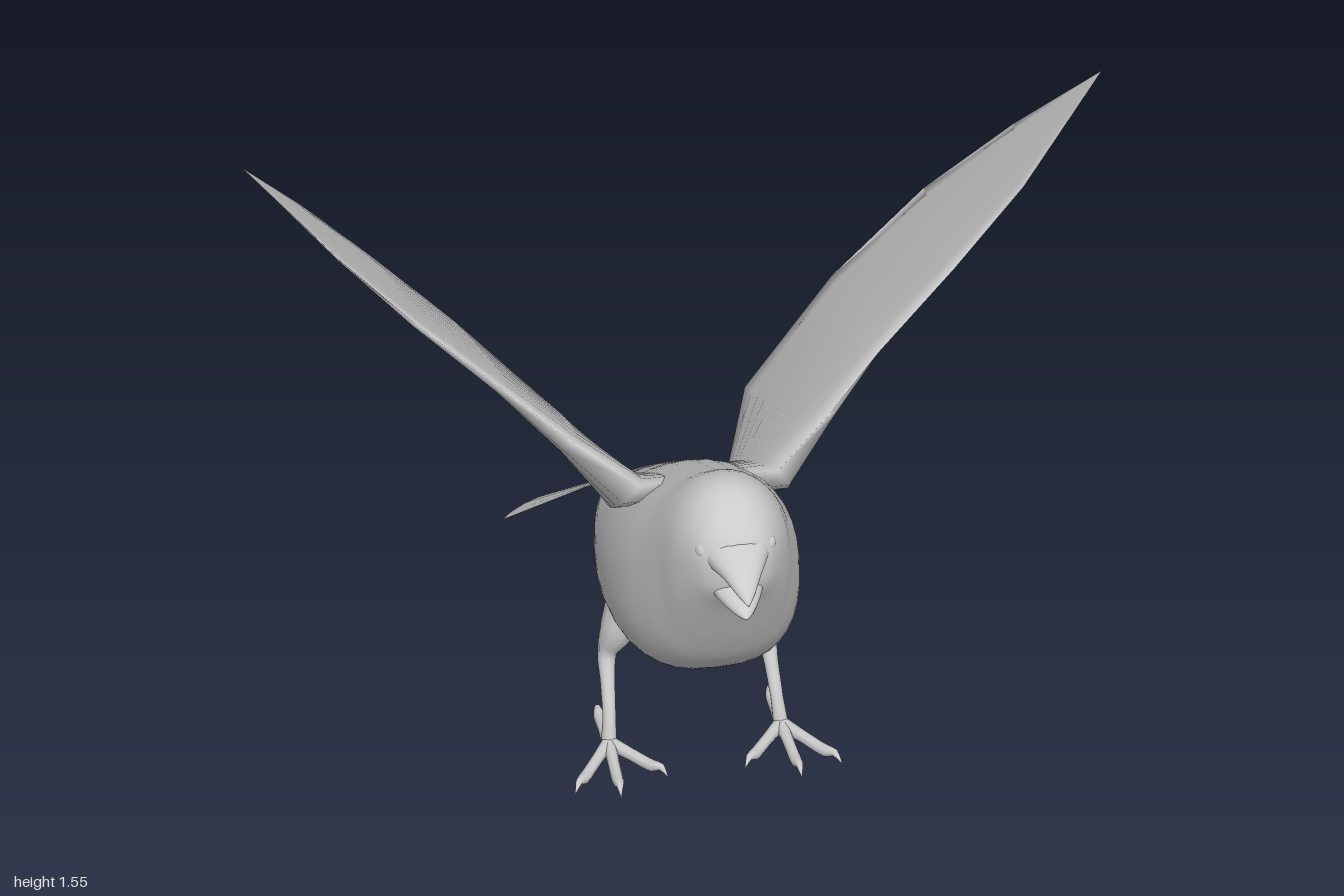
import * as THREE from 'three';

const V = (x, y, z) => new THREE.Vector3(x, y, z);
const grey = new THREE.MeshStandardMaterial({ color: 0xcccccc });
const greyThin = new THREE.MeshStandardMaterial({ color: 0xcccccc, side: THREE.DoubleSide });

function mesh(name, geometry, material = grey) {
  const m = new THREE.Mesh(geometry, material);
  m.name = name;
  return m;
}

// Skin a list of equal-length rows of points; closed joins each row into a ring
function skin(rows, closed = true) {
  const n = rows[0].length, index = [];
  for (let i = 0; i < rows.length - 1; i++) {
    for (let j = 0; j < (closed ? n : n - 1); j++) {
      const k = (j + 1) % n;
      const a = i * n + j, b = (i + 1) * n + j, c = (i + 1) * n + k, d = i * n + k;
      index.push(a, b, d, b, c, d);
    }
  }
  const g = new THREE.BufferGeometry().setFromPoints(rows.flat());
  g.setIndex(index);
  g.computeVertexNormals();
  return g;
}

// Loft front to back; station = [topZ, topY, bottomZ, bottomY, halfWidth]
function loft(stations, steps, sides, lowPower = 1) {
  const top = new THREE.CatmullRomCurve3(stations.map(s => V(s[4], s[1], s[0])));
  const low = new THREE.CatmullRomCurve3(stations.map(s => V(0, s[3], s[2])));
  const rows = [];
  for (let i = 0; i <= steps; i++) {
    const t = top.getPoint(i / steps), b = low.getPoint(i / steps), row = [];
    for (let j = 0; j < sides; j++) {
      const a = (j / sides) * Math.PI * 2, c = Math.cos(a), s = Math.sin(a);
      const p = s < 0 ? lowPower : 0.95;
      const f = 0.5 + 0.5 * Math.sign(s) * Math.abs(s) ** p;
      row.push(V(Math.sign(c) * Math.abs(c) ** p * Math.max(t.x, 0),
        b.y + (t.y - b.y) * f, b.z + (t.z - b.z) * f));
    }
    rows.push(row);
  }
  return skin(rows);
}

// Round limb of changing radius
function limb(points, radii, steps = 14, sides = 8) {
  const curve = new THREE.CatmullRomCurve3(points.map(p => V(...p)));
  const { normals, binormals } = curve.computeFrenetFrames(steps);
  const rows = [];
  for (let i = 0; i <= steps; i++) {
    const c = curve.getPointAt(i / steps), u = curve.getUtoTmapping(i / steps) * (radii.length - 1);
    const k = Math.min(Math.floor(u), radii.length - 2);
    const r = THREE.MathUtils.lerp(radii[k], radii[k + 1], u - k);
    rows.push(Array.from({ length: sides }, (_, j) => {
      const a = (j / sides) * Math.PI * 2;
      return c.clone().addScaledVector(normals[i], r * Math.cos(a))
        .addScaledVector(binormals[i], -r * Math.sin(a));
    }));
  }
  return skin(rows);
}

// Raised wing: leading point, trailing point and thickness at each station.
// The root starts inside the back so the upper side flows out of it.
function wingGeometry() {
  const stations = [
    [[0, 0.81, 0.14], [0, 0.52, -0.27], 0.1],
    [[0.16, 0.85, 0.2], [0.14, 0.545, -0.28], 0.11],
    [[0.3, 0.93, 0.11], [0.22, 0.59, -0.5], 0.065],
    [[0.43, 1.02, 0.02], [0.44, 0.8, -0.6], 0.04],
    [[0.62, 1.18, -0.05], [0.65, 1.04, -0.57], 0.028],
    [[0.79, 1.35, -0.1], [0.83, 1.3, -0.42], 0.015],
    [[1, 1.55, -0.24], [1, 1.55, -0.24], 0],
  ];
  const up = V(-0.66, 0.68, -0.3).normalize(), M = 10;
  return skin(stations.map(([lead, trail, thick]) =>
    Array.from({ length: 2 * M }, (_, k) => {
      const f = k <= M ? k / M : 2 - k / M;
      const profile = 2.4 * Math.sqrt(f) * (1 - f);
      const lift = thick * profile * (k <= M ? 0.25 : -0.7);
      return V(...lead).lerp(V(...trail), f).addScaledVector(up, lift);
    })));
}

// Domed fan tail between a curved root and a rounded rim
function tailGeometry() {
  const rim = new THREE.CatmullRomCurve3([
    [-0.35, 0.325, -0.46], [-0.31, 0.29, -0.54], [-0.22, 0.258, -0.63], [0, 0.24, -0.67],
    [0.22, 0.258, -0.63], [0.31, 0.29, -0.54], [0.35, 0.325, -0.46],
  ].map(p => V(...p)));
  const rows = [];
  for (let i = 0; i <= 8; i++) {
    rows.push(Array.from({ length: 17 }, (_, j) => {
      const u = j / 8 - 1;
      const root = V(0.145 * u, 0.572 - 0.06 * u * u, -0.27 - 0.04 * u * u);
      return root.lerp(rim.getPoint(j / 16), i / 8);
    }));
  }
  return skin(rows, false);
}

function makeLeg() {
  const leg = new THREE.Group();
  leg.add(mesh('shank', limb(
    [[0.1, 0.4, -0.075], [0.13, 0.335, -0.07], [0.16, 0.27, -0.063], [0.185, 0.205, -0.066],
      [0.19, 0.15, -0.035], [0.195, 0.08, 0.01], [0.2, 0.02, 0.03]],
    [0.03, 0.058, 0.043, 0.022, 0.017, 0.015, 0.018], 24, 10)));
  // Toes end in a small downturned claw
  for (const [x, z] of [[0.21, 0.23], [0.31, 0.195], [0.09, 0.17], [0.2, -0.12]]) {
    const at = (f, y) => [0.2 + (x - 0.2) * f, y, 0.03 + (z - 0.03) * f];
    leg.add(mesh('toe', limb(
      [at(0, 0.022), at(0.35, 0.02), at(0.75, 0.018), at(0.88, 0.027), at(1, 0.008)],
      [0.017, 0.014, 0.014, 0.009, 0.001])));
  }
  return leg;
}

export function createModel() {
  const bird = new THREE.Group();
  bird.name = 'bird';

  // Head, breast and back in one smooth skin
  bird.add(mesh('body', loft([
    [0.568, 0.83, 0.568, 0.82, 0],
    [0.56, 0.885, 0.555, 0.775, 0.05],
    [0.54, 0.925, 0.54, 0.75, 0.08],
    [0.5, 0.96, 0.515, 0.71, 0.105],
    [0.42, 0.985, 0.475, 0.635, 0.135],
    [0.34, 0.968, 0.43, 0.55, 0.155],
    [0.25, 0.912, 0.375, 0.465, 0.18],
    [0.16, 0.86, 0.29, 0.385, 0.205],
    [0.06, 0.8, 0.18, 0.33, 0.218],
    [-0.05, 0.73, 0.07, 0.3, 0.218],
    [-0.16, 0.65, -0.08, 0.28, 0.205],
    [-0.25, 0.585, -0.22, 0.355, 0.178],
    [-0.3, 0.54, -0.33, 0.392, 0.15],
    [-0.35, 0.49, -0.39, 0.408, 0.11],
    [-0.41, 0.43, -0.42, 0.415, 0],
  ], 56, 36, 0.75)));

  // Open beak, its base blending into the face
  bird.add(mesh('upperBeak', loft([
    [0.672, 0.821, 0.672, 0.817, 0], [0.645, 0.852, 0.648, 0.822, 0.02],
    [0.6, 0.884, 0.6, 0.832, 0.044], [0.56, 0.905, 0.56, 0.828, 0.064],
    [0.51, 0.925, 0.51, 0.82, 0.085]], 18, 16)));
  bird.add(mesh('lowerBeak', loft([
    [0.65, 0.769, 0.65, 0.766, 0], [0.63, 0.782, 0.63, 0.759, 0.018],
    [0.59, 0.797, 0.59, 0.755, 0.04], [0.55, 0.808, 0.55, 0.752, 0.056],
    [0.5, 0.82, 0.5, 0.745, 0.07]], 18, 16)));

  bird.add(mesh('tail', tailGeometry(), greyThin));

  // Paired parts, built on the left and mirrored to the right
  const wing = wingGeometry();
  for (const s of [1, -1]) {
    const side = new THREE.Group();
    side.name = s > 0 ? 'leftSide' : 'rightSide';
    const eye = mesh('eye', new THREE.SphereGeometry(0.02, 16, 12));
    eye.position.set(0.074, 0.88, 0.513);
    const leg = makeLeg();
    leg.name = 'leg';
    side.add(mesh('wing', wing, greyThin), eye, leg);
    side.scale.x = s;
    bird.add(side);
  }
  return bird;
}
